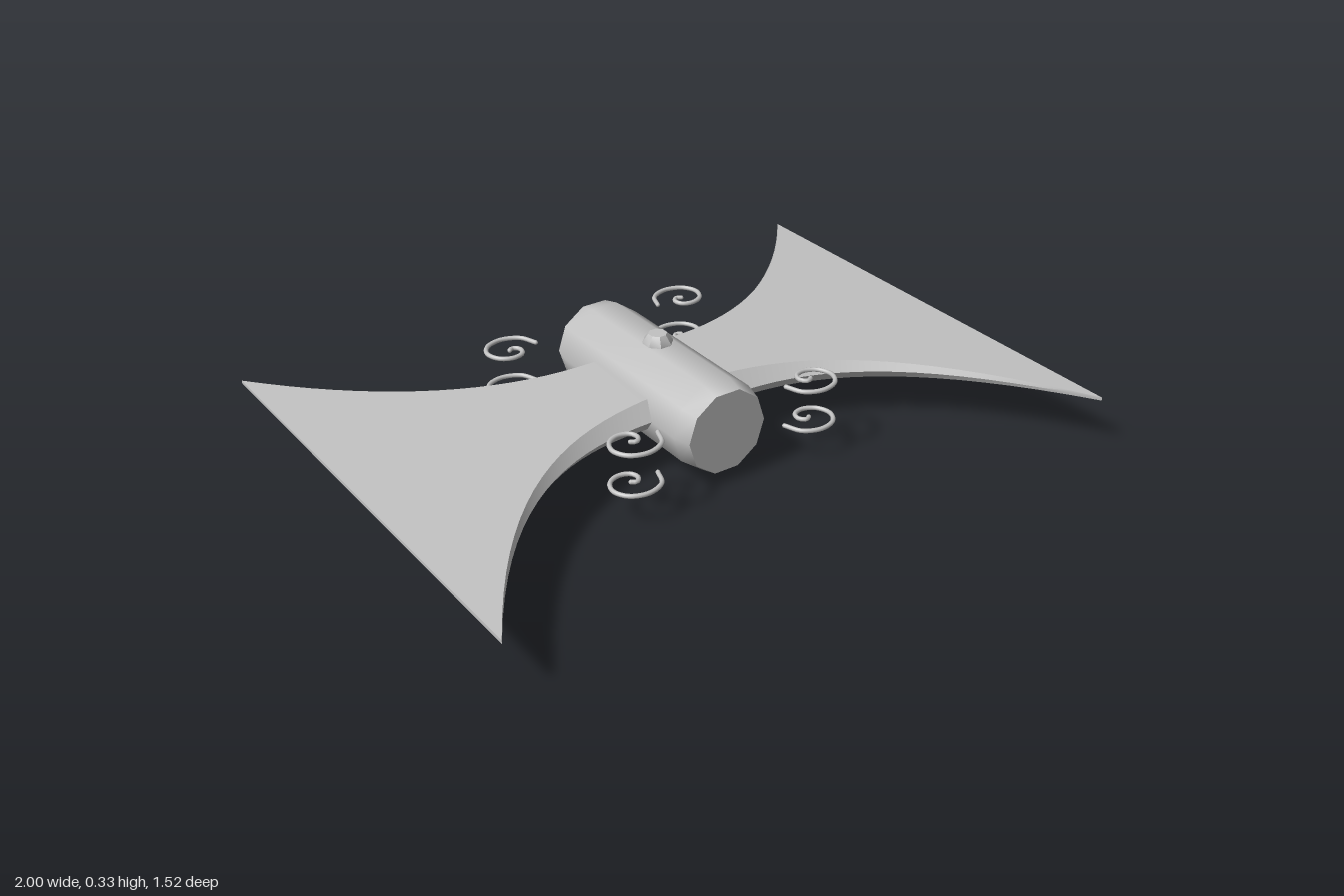
import * as THREE from 'three';
import { toCreasedNormals } from 'three/addons/utils/BufferGeometryUtils.js';

const MID_Y = 0.167; // height of the flat symmetry plane
const MID_Z = -0.053; // centre of the hub along its axis

// Solid turned from a profile of [radius, height] pairs, with crisp edges
function turned(profile, sides, phiStart, crease) {
  const points = profile.map(([r, h]) => new THREE.Vector2(r, h));
  return toCreasedNormals(new THREE.LatheGeometry(points, sides, phiStart), crease);
}

// Flared blade lofted along x through bevelled six-point sections
function bladeGeometry(xStart, xEnd) {
  const steps = 20, positions = [], index = [];
  for (let i = 0; i <= steps; i++) {
    const x = xStart + (xEnd - xStart) * i / steps;
    const u = Math.max(0, (Math.abs(x) - 0.12) / 0.88);
    const t = 0.05 - 0.045 * u; // half thickness
    const bevel = 0.046 * (1 - u);
    const front = 0.125 + 0.635 * u ** 2.35;
    const back = -0.24 - 0.52 * u ** 2.15;
    const section = [
      [t, back + bevel], [t, front - bevel], [0, front],
      [-t, front - bevel], [-t, back + bevel], [0, back],
    ];
    for (const [y, z] of section) positions.push(x, MID_Y + y, z);
  }
  for (let i = 0; i < steps; i++) {
    for (let j = 0; j < 6; j++) {
      const a = i * 6 + j, b = i * 6 + (j + 1) % 6;
      index.push(a, b, a + 6, b, b + 6, a + 6);
    }
  }
  const last = steps * 6;
  for (let j = 1; j < 5; j++) {
    index.push(0, j + 1, j, last, last + j, last + j + 1);
  }
  const geometry = new THREE.BufferGeometry();
  geometry.setAttribute('position', new THREE.Float32BufferAttribute(positions, 3));
  geometry.setIndex(index);
  return toCreasedNormals(geometry, 0.5);
}

// Scroll path as [x, z] for the back left corner
const SCROLL = [
  [0.222, -0.375], [0.245, -0.427], [0.3, -0.45], [0.355, -0.433], [0.378, -0.39],
  [0.362, -0.346], [0.325, -0.328], [0.29, -0.338], [0.281, -0.365], [0.297, -0.383], [0.312, -0.375],
];

export function createModel() {
  const group = new THREE.Group();
  const steel = new THREE.MeshStandardMaterial({ color: 0xc2c2c2 });
  steel.name = 'steel grey';
  const add = (name, geometry, parent = group) => {
    const mesh = new THREE.Mesh(geometry, steel);
    mesh.name = name;
    parent.add(mesh);
    return mesh;
  };

  // Ten-sided hub with chamfered ends
  const hub = add('hub', turned(
    [[0, -0.342], [0.13, -0.342], [0.144, -0.285], [0.144, 0.285], [0.13, 0.342], [0, 0.342]],
    10, Math.PI / 2, 0.75));
  hub.rotation.x = Math.PI / 2;
  hub.position.set(0, MID_Y, MID_Z);

  // Blades on both sides
  add('leftBlade', bladeGeometry(0.05, 1));
  add('rightBlade', bladeGeometry(-1, -0.05));

  // Small studs above and below the hub
  for (const side of [1, -1]) {
    const stud = add(side > 0 ? 'topStud' : 'bottomStud', turned(
      [[0, 0.12], [0.045, 0.12], [0.045, 0.143], [0.028, 0.167], [0, 0.167]],
      8, Math.PI / 8, 0.6));
    stud.rotation.x = side > 0 ? 0 : Math.PI;
    stud.position.set(0, MID_Y, MID_Z);
  }

  // Curled scrolls at each corner, in an upper and a lower layer
  for (const sx of [1, -1]) for (const sz of [1, -1]) for (const sy of [1, -1]) {
    const scroll = new THREE.Group();
    scroll.name = (sy > 0 ? 'upper' : 'lower') + (sz > 0 ? 'Back' : 'Front') + (sx > 0 ? 'Left' : 'Right') + 'Scroll';
    const path = SCROLL.map(([x, z]) =>
      new THREE.Vector3(sx * x, MID_Y + sy * 0.064, MID_Z + sz * (z - MID_Z)));
    add('scrollCurl', new THREE.TubeGeometry(new THREE.CatmullRomCurve3(path), 40, 0.007, 8), scroll);
    for (const end of [path[0], path[path.length - 1]]) {
      add('scrollTip', new THREE.SphereGeometry(0.007, 8, 6), scroll).position.copy(end);
    }
    group.add(scroll);
  }
  return group;
}
